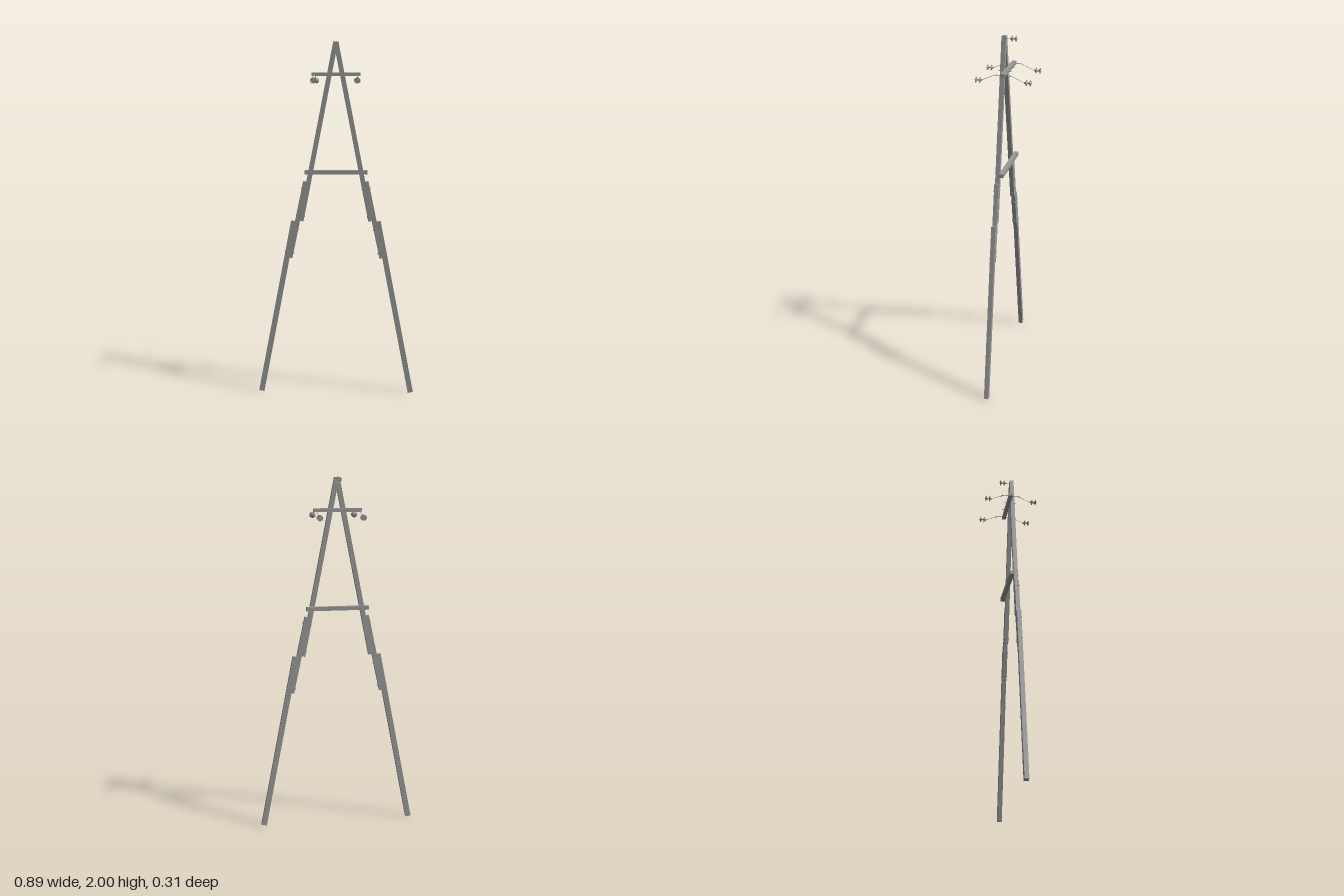
import * as THREE from 'three';

const material = new THREE.MeshStandardMaterial({ color: 0x989898, flatShading: true, side: THREE.DoubleSide });
const V = (x, y, z) => new THREE.Vector3(x, y, z);
const UP = V(0, 1, 0);
const POLE_Z = 0.0225;

// Mesh whose own y axis runs along a direction
function aligned(name, geometry, position, direction) {
  const mesh = new THREE.Mesh(geometry, material);
  mesh.position.copy(position);
  mesh.quaternion.setFromUnitVectors(UP, direction);
  mesh.name = name;
  return mesh;
}

// Square timber between two points in the frame's plane
function beam(name, a, b, width, depth) {
  const geo = new THREE.BoxGeometry(width, a.distanceTo(b), depth);
  return aligned(name, geo, a.clone().lerp(b, 0.5), b.clone().sub(a).normalize());
}

// Thin round rod between two points
function rod(name, a, b, r) {
  const geo = new THREE.CylinderGeometry(r, r, a.distanceTo(b), 6);
  return aligned(name, geo, a.clone().lerp(b, 0.5), b.clone().sub(a).normalize());
}

// Bell-shaped disc: narrow cap first, ribbed skirt outward along +y
const discGeometry = new THREE.LatheGeometry([
  [0, -0.012], [0.004, -0.012], [0.0055, -0.005], [0.0145, -0.001],
  [0.0165, 0.002], [0.012, 0.001], [0.010, 0.004], [0.007, 0.002], [0.004, 0.005], [0.003, 0.008], [0, 0.008],
].map(([r, y]) => new THREE.Vector2(r, y)), 12);

// Wire, shackle and two level discs hanging off the upper crossarm
function insulatorString(x, s) {
  const group = new THREE.Group();
  group.name = 'insulatorString';
  const hook = V(x, 1.816, s * 0.05), end = V(x, 1.787, s * 0.115);
  const direction = end.clone().sub(hook).normalize();
  group.add(rod('armBolt', V(x, 1.82, 0), V(x, 1.819, s * 0.042), 0.0018));
  group.add(rod('wire', hook, end, 0.0012));
  const shackle = aligned('shackle', new THREE.TorusGeometry(0.0033, 0.001, 6, 12), hook, direction);
  shackle.scale.y = 2.6;
  group.add(shackle);
  for (const z of [0.125, 0.146]) {
    group.add(aligned('insulatorDisc', discGeometry, V(x, 1.787, s * z), V(0, 0, s)));
  }
  return group;
}

// Strap around two neighbouring poles, with cut corners
function spliceBand(halfWidth) {
  const w = halfWidth, d = 0.014, c = 0.003, h = 0.007;
  const shape = new THREE.Shape([
    [w - c, -d], [w, c - d], [w, d - c], [w - c, d], [c - w, d], [-w, d - c], [-w, c - d], [c - w, -d],
  ].map(([x, y]) => new THREE.Vector2(x, y)));
  const geo = new THREE.ExtrudeGeometry(shape, { depth: h, bevelEnabled: false });
  geo.translate(0, 0, -h / 2).rotateX(Math.PI / 2);
  return geo;
}

// One leg: upper pole, overlapping splice pole and lower pole, tied by bands
function leg(s) {
  const group = new THREE.Group();
  group.name = s > 0 ? 'leftLeg' : 'rightLeg';
  const p = (x, y) => V(s * x, y, POLE_Z);
  group.add(beam('upperPole', p(0.196, 1.002), p(0.001, 1.9975), 0.026, 0.024));
  group.add(beam('splicePole', p(0.261, 0.79), p(0.17, 1.225), 0.027, 0.0232));
  group.add(beam('lowerPole', p(0.431, 0.003), p(0.238, 1.0), 0.03, 0.024));
  const slope = V(-s * 0.195, 0.98, 0).normalize();
  for (const [x, y, w] of [[0.17, 1.185, 0.0245], [0.2, 1.03, 0.0245], [0.236, 0.955, 0.026], [0.263, 0.82, 0.026]]) {
    group.add(aligned('spliceBand', spliceBand(w), p(x, y), slope));
  }
  return group;
}

export function createModel() {
  const model = new THREE.Group();
  model.name = 'aFramePole';

  // Crossarms behind the legs
  model.add(beam('upperCrossarm', V(-0.135, 1.821, -0.001), V(0.135, 1.821, -0.001), 0.02, 0.022));
  model.add(beam('lowerCrossarm', V(-0.177, 1.275, -0.002), V(0.177, 1.275, -0.002), 0.022, 0.024));

  for (const s of [-1, 1]) {
    model.add(leg(s));
    // Through bolts with nuts where the crossarms meet the legs
    for (const [x, y, back, front] of [[0.036, 1.821, -0.027, 0.045], [0.141, 1.275, -0.02, 0.04]]) {
      model.add(rod('throughBolt', V(s * x, y, back), V(s * x, y, front), 0.0018));
      for (const z of [-0.0155, 0.0365]) {
        model.add(rod('nut', V(s * x, y, z - 0.002), V(s * x, y, z + 0.002), 0.0042));
      }
    }
    // Insulator strings, front and back
    for (const side of [-1, 1]) model.add(insulatorString(s * 0.119, side));
  }

  // Insulator at the apex, pointing backward
  const top = new THREE.Group();
  top.name = 'topInsulator';
  top.add(rod('topPin', V(0, 1.986, POLE_Z), V(0, 1.986, -0.045), 0.0014));
  for (const z of [-0.02, -0.041]) {
    top.add(aligned('insulatorDisc', discGeometry, V(0, 1.986, z), V(0, 0, -1)));
  }
  model.add(top);

  return model;
}
